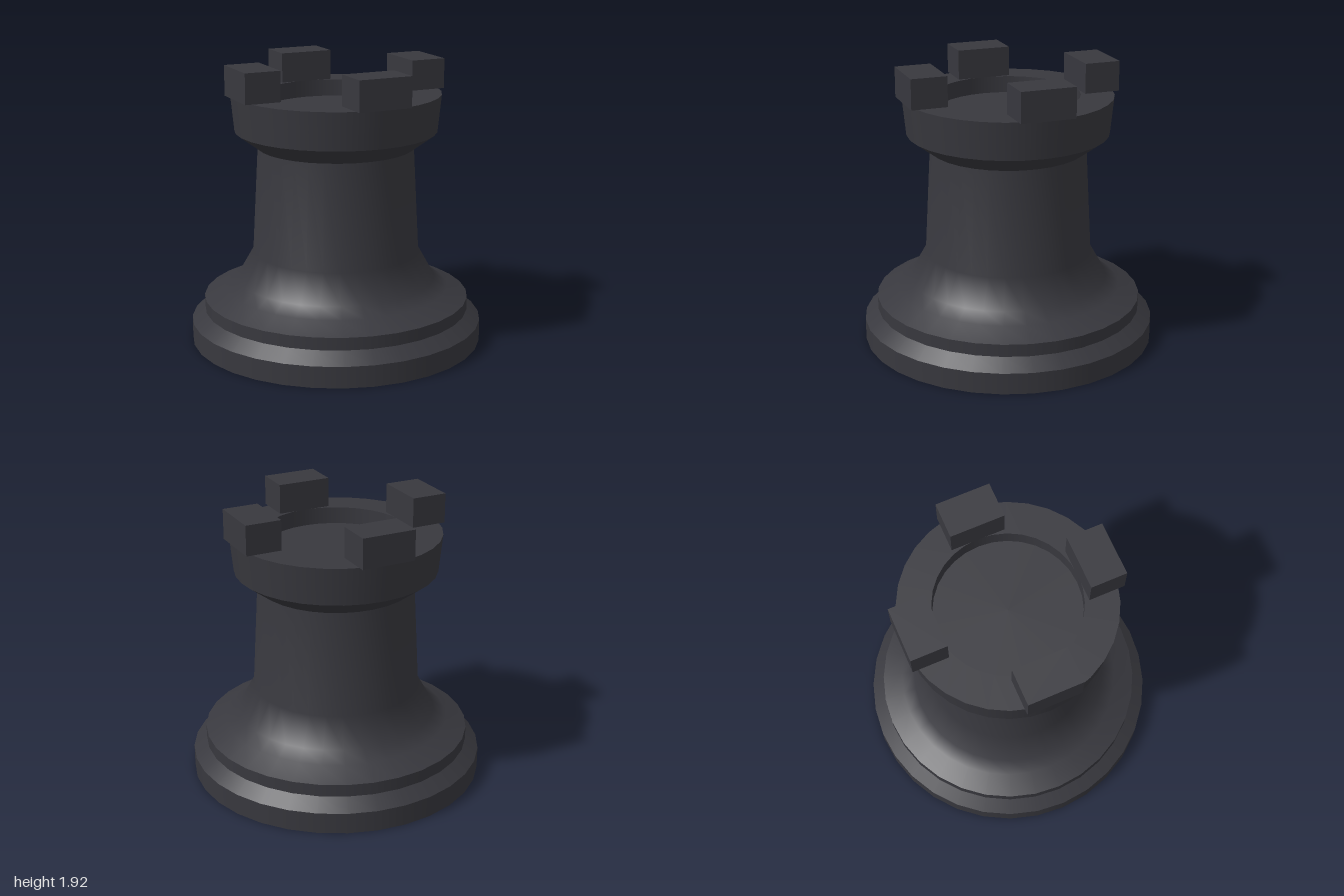
import * as THREE from 'three';

const SEGMENTS = 32;

export function createModel() {
  const group = new THREE.Group();
  const charcoal = new THREE.MeshStandardMaterial({ color: 0x38383e });
  charcoal.name = 'charcoal';

  function add(name, geometry) {
    const mesh = new THREE.Mesh(geometry, charcoal);
    mesh.name = name;
    group.add(mesh);
    return mesh;
  }

  // Turned sections, bottom to top; each is smooth inside and creased at its ends
  const sections = [
    ['underside', [[0, 0], [1, 0]]],
    ['baseRim', [[1, 0], [1, 0.145]]],
    ['baseBevel', [[1, 0.145], [0.91, 0.22]]],
    ['baseStep', [[0.91, 0.22], [0.91, 0.305]]],
    ['tower', [[0.91, 0.305], [0.77, 0.37], [0.68, 0.43], [0.57, 0.625], [0.53, 1.345]]],
    ['collar', [[0.53, 1.345], [0.685, 1.46]]],
    ['crown', [[0.685, 1.46], [0.71, 1.715]]],
    ['crownTop', [[0.71, 1.715], [0.485, 1.715]]],
    ['recessWall', [[0.485, 1.715], [0.485, 1.6]]],
    ['recessFloor', [[0.485, 1.6], [0, 1.6]]],
  ];
  for (const [name, profile] of sections) {
    const points = profile.map(([r, y]) => new THREE.Vector2(r, y));
    add(name, new THREE.LatheGeometry(points, SEGMENTS));
  }

  // Four battlement blocks on the diagonals
  const block = new THREE.BoxGeometry(0.37, 0.204, 0.245);
  for (let i = 0; i < 4; i++) {
    const angle = Math.PI / 4 + (i * Math.PI) / 2;
    const mesh = add('battlement' + (i + 1), block);
    mesh.position.set(Math.sin(angle) * 0.603, 1.817, Math.cos(angle) * 0.603);
    mesh.rotation.y = angle;
  }

  return group;
}
